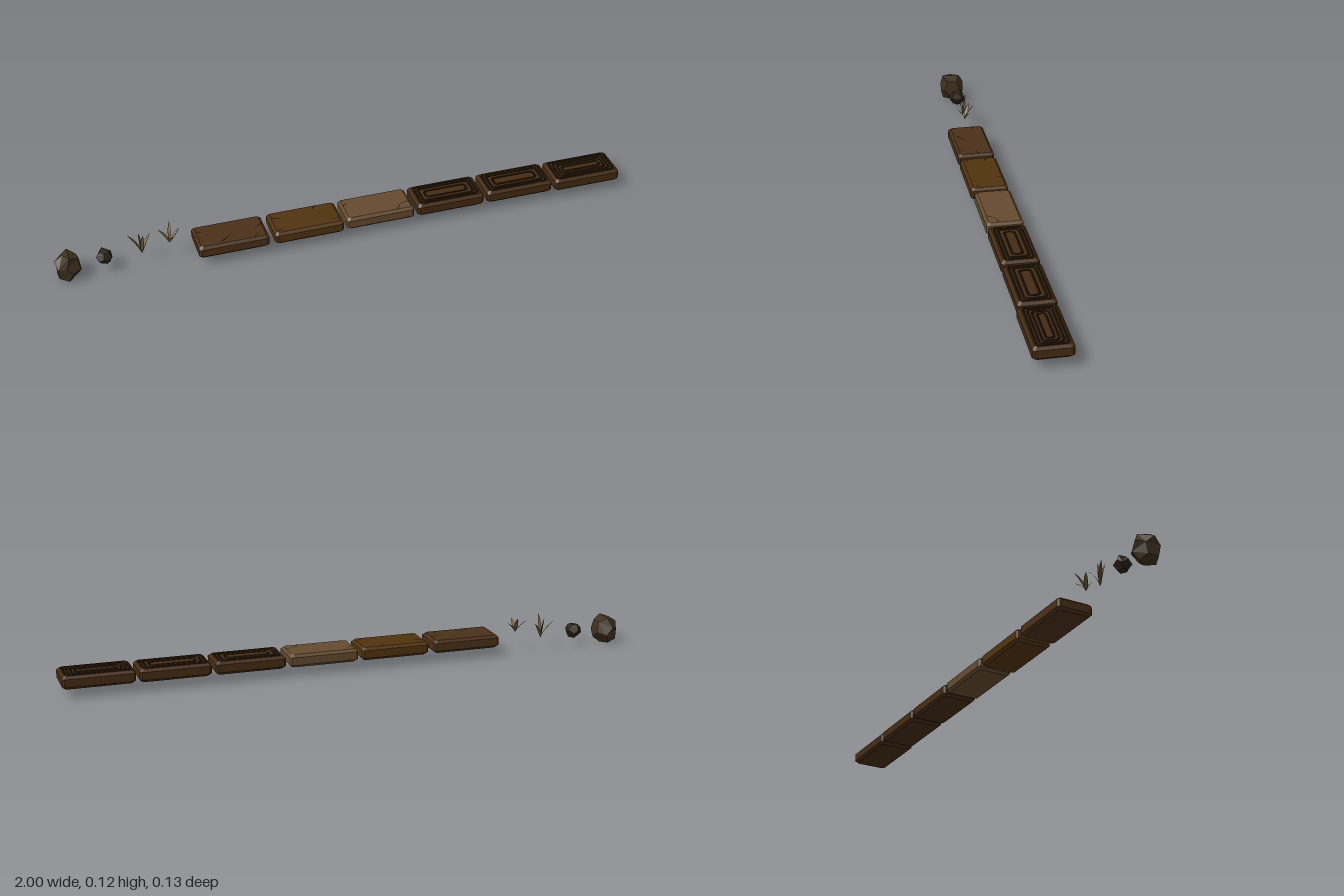
import * as THREE from 'three';

const HX = 0.121, HZ = 0.065; // half size of a slab
const BOTTOM = 0.03, TOP = 0.075, BEVEL = 0.009, DEPTH = 0.005;

const material = (color, side = THREE.FrontSide) => {
  const m = new THREE.MeshStandardMaterial({ color, side });
  m.flatShading = true;
  return m;
};

function seeded(seed) {
  return () => (seed = (seed * 16807) % 2147483647) / 2147483647;
}

function addMesh(parent, name, geometry, mat) {
  const mesh = new THREE.Mesh(geometry, mat);
  mesh.name = name;
  parent.add(mesh);
  return mesh;
}

function fromTriangles(positions) {
  const g = new THREE.BufferGeometry();
  g.setAttribute('position', new THREE.Float32BufferAttribute(positions, 3));
  g.computeVertexNormals();
  return g;
}

// Rectangle loop with clipped corners, inset from the slab outline
function loop(inset, y, hz) {
  const x = Math.max(HX - inset, 0), z = Math.max(hz - inset, 0);
  const c = Math.min(0.007, x / 2, z / 2);
  return [[x, z - c], [x, c - z], [x - c, -z], [c - x, -z],
    [-x, c - z], [-x, z - c], [c - x, z], [x - c, z]].map(([a, b]) => [a, y, b]);
}

// Join successive loops by bands; `pick` chooses which bands to keep
function bands(loops, pick) {
  const out = [];
  for (let k = 0; k + 1 < loops.length; k++) {
    if (!pick(k)) continue;
    const a = loops[k], b = loops[k + 1];
    for (let i = 0; i < 8; i++) {
      const j = (i + 1) % 8;
      out.push(...a[i], ...a[j], ...b[j], ...a[i], ...b[j], ...b[i]);
    }
  }
  return out;
}

function slab(name, x, z, hz, color, grooves) {
  const group = new THREE.Group();
  group.name = name;
  group.position.set(x, 0, z);
  const point = (y) => Array.from({ length: 8 }, () => [0, y, 0]);
  const loops = [point(BOTTOM), loop(BEVEL, BOTTOM, hz), loop(0, BOTTOM + BEVEL, hz),
    loop(0, TOP - BEVEL, hz), loop(BEVEL, TOP, hz)];
  const dark = new Set();
  for (const [start, end] of grooves) {
    for (let i = 0; i < 3; i++) dark.add(loops.length + i);
    loops.push(loop(start, TOP, hz), loop(start + 0.001, TOP - DEPTH, hz),
      loop(end - 0.001, TOP - DEPTH, hz), loop(end, TOP, hz));
  }
  loops.push(point(TOP));
  addMesh(group, 'slabBody', fromTriangles(bands(loops, (k) => !dark.has(k))), material(color));
  if (dark.size) {
    addMesh(group, 'carvedGrooves', fromTriangles(bands(loops, (k) => dark.has(k))), material(0x21160a));
  }
  return group;
}

// Thin jagged crack lying on the top face, tapering from start to end
function crack(parent, [x1, z1, x2, z2, width]) {
  const dx = x2 - x1, dz = z2 - z1, len = Math.hypot(dx, dz);
  const nx = -dz / len * width, nz = dx / len * width;
  const pts = [[x1 + nx, z1 + nz], [x1 + dx * 0.45 + nx * 1.4, z1 + dz * 0.45 + nz * 1.4],
    [x2, z2], [x1 + dx * 0.55 + nx * 0.2, z1 + dz * 0.55 + nz * 0.2], [x1 - nx, z1 - nz]];
  const g = new THREE.ShapeGeometry(new THREE.Shape(pts.map(([a, b]) => new THREE.Vector2(a, -b))));
  g.rotateX(-Math.PI / 2).translate(0, TOP + 0.0006, 0);
  addMesh(parent, 'crack', g, material(0x1e140a, THREE.DoubleSide));
}

// Faceted stone fitted to a given size
function rock(name, center, size, seed, color) {
  const rnd = seeded(seed);
  const g = new THREE.DodecahedronGeometry(1, 0);
  const p = g.attributes.position, moved = new Map(), v = new THREE.Vector3();
  for (let i = 0; i < p.count; i++) {
    v.fromBufferAttribute(p, i);
    const key = v.toArray().map((n) => Math.round(n * 100)).join();
    if (!moved.has(key)) moved.set(key, 0.82 + 0.3 * rnd());
    v.multiplyScalar(moved.get(key));
    p.setXYZ(i, v.x, v.y, v.z);
  }
  g.rotateZ(seed).center();
  g.computeBoundingBox();
  g.boundingBox.getSize(v);
  g.scale(size[0] / v.x, size[1] / v.y, size[2] / v.z);
  g.computeVertexNormals();
  const mesh = new THREE.Mesh(g, material(color));
  mesh.name = name;
  mesh.position.set(...center);
  return mesh;
}

// Folded, tapering leaf that rises from the root and bends out to its tip
function blade(root, tip, width) {
  const a = new THREE.Vector3(...root), b = new THREE.Vector3(...tip);
  const mid = new THREE.Vector3(a.x * 0.72 + b.x * 0.28, a.y * 0.4 + b.y * 0.6, a.z * 0.72 + b.z * 0.28);
  const curve = new THREE.QuadraticBezierCurve3(a, mid, b);
  const side = new THREE.Vector3(-(b.z - a.z), 0, b.x - a.x).normalize();
  const rows = [0.35, 0.9, 1, 0.7, 0].map((w, i) => {
    const c = curve.getPoint(i / 4), h = side.clone().multiplyScalar(w * width);
    const fold = new THREE.Vector3(0, -0.25 * w * width, 0);
    return [c.clone().sub(h), c.clone().add(fold), c.clone().add(h)].map((q) => q.toArray());
  });
  const out = [];
  for (let i = 0; i < 4; i++) {
    for (let j = 0; j < 2; j++) {
      const [p, q, r, s] = [rows[i][j], rows[i][j + 1], rows[i + 1][j + 1], rows[i + 1][j]];
      out.push(...p, ...q, ...r, ...p, ...r, ...s);
    }
  }
  return fromTriangles(out);
}

function tuft(name, root, tips, colors) {
  const group = new THREE.Group();
  group.name = name;
  tips.forEach(([x, y, z, w], i) => addMesh(group, 'grassBlade', blade(root, [x, y, z], w),
    material(colors[i % colors.length], THREE.DoubleSide)));
  return group;
}

export function createModel() {
  const model = new THREE.Group();
  model.name = 'pathPieces';

  // Plain slabs with cracks
  const plain = [
    [-0.406, 0.001, HZ, 0x4a3018, [[-0.04, 0.045, 0.01, 0.005, 0.003], [0.112, -0.012, 0.08, 0.01, 0.003],
      [0.07, 0.055, 0.1, 0.025, 0.002], [-0.11, -0.03, -0.085, -0.02, 0.003]]],
    [-0.143, 0.001, HZ, 0x51330f, [[-0.112, -0.03, -0.07, -0.015, 0.003], [-0.11, 0.045, -0.08, 0.035, 0.003],
      [0.05, -0.055, 0.035, -0.03, 0.003], [0.112, 0.035, 0.08, 0.042, 0.002]]],
    [0.113, -0.003, 0.063, 0x644a2f, [[-0.112, -0.02, -0.085, -0.035, 0.002], [0.112, 0.02, 0.07, 0.03, 0.002],
      [0.06, 0.053, 0.085, 0.02, 0.002]]],
  ];
  plain.forEach(([x, z, hz, color, cracks], i) => {
    const s = slab('plainSlab' + (i + 1), x, z, hz, color, []);
    cracks.forEach((c) => crack(s, c));
    model.add(s);
  });

  // Carved slabs with nested rectangular grooves
  const carved = [
    [0.369, -0.003, 0.063, [[0.014, 0.02], [0.025, 0.032], [0.043, 0.049]]],
    [0.625, -0.003, 0.063, [[0.013, 0.018], [0.023, 0.031], [0.041, 0.048]]],
    [0.879, 0.001, HZ, [[0.013, 0.019], [0.024, 0.03], [0.036, 0.042], [0.049, 0.055]]],
  ];
  carved.forEach(([x, z, hz, grooves], i) =>
    model.add(slab('carvedSlab' + (i + 1), x, z, hz, 0x452b13, grooves)));

  // Stones
  model.add(rock('largeRock', [-0.956, 0.048, -0.02], [0.088, 0.096, 0.088], 7, 0x3f3020));
  model.add(rock('smallRock', [-0.834, 0.055, -0.02], [0.056, 0.05, 0.058], 23, 0x2c2118));

  // Grass tufts
  model.add(tuft('grassTuft1', [-0.705, 0.04, -0.02], [
    [-0.748, 0.105, -0.042, 0.006], [-0.67, 0.1, -0.042, 0.006],
    [-0.702, 0.125, 0.003, 0.006], [-0.712, 0.112, -0.032, 0.005]], [0x5a4a28, 0x6a5630, 0x8a6f48]));
  model.add(tuft('grassTuft2', [-0.61, 0.068, -0.012], [
    [-0.646, 0.112, -0.034, 0.007], [-0.572, 0.105, -0.03, 0.006],
    [-0.606, 0.11, 0.02, 0.007], [-0.602, 0.125, -0.05, 0.006]], [0x6a5638, 0x574526, 0x8f7650]));
  return model;
}
